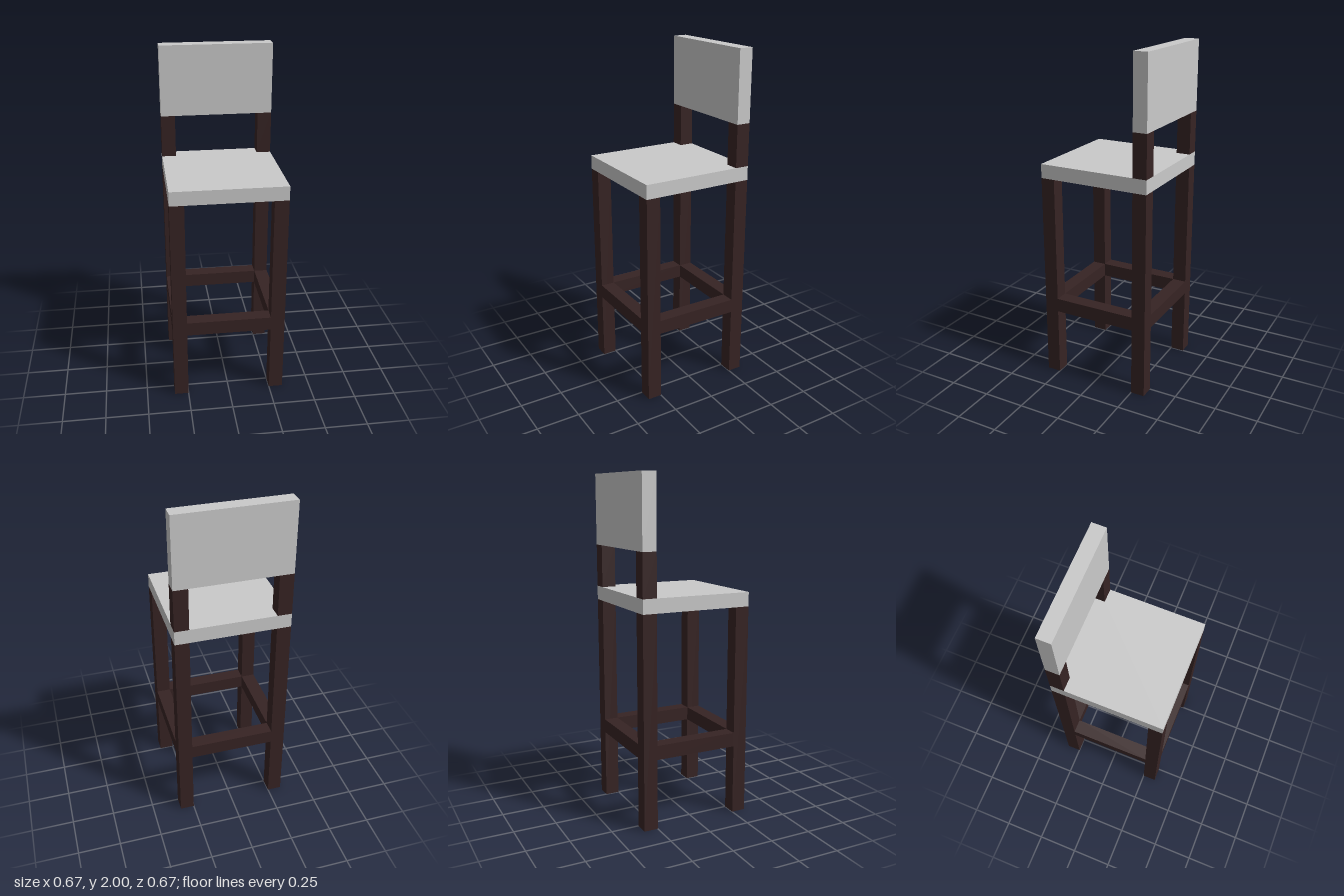
import * as THREE from 'three';

// Everything sits on a grid of 1/12 unit: 8 wide, 8 deep, 24 high.
const U = 1 / 12;

export function createModel() {
  const model = new THREE.Group();
  model.name = 'barStool';

  const wood = new THREE.MeshStandardMaterial({ color: 0x362323 });
  wood.name = 'dark brown wood';
  const pad = new THREE.MeshStandardMaterial({ color: 0xcacaca });
  pad.name = 'light grey';

  // Box given by its size, the height of its underside and its centre, in grid units
  function block(name, material, [w, h, d], [x, bottom, z]) {
    const mesh = new THREE.Mesh(new THREE.BoxGeometry(w * U, h * U, d * U), material);
    mesh.position.set(x * U, (bottom + h / 2) * U, z * U);
    mesh.name = name;
    model.add(mesh);
  }

  // Seat and backrest
  block('seat', pad, [8, 1, 8], [0, 15, 0]);
  block('backrest', pad, [8, 5, 1], [0, 19, -3.5]);

  for (const [side, s] of [['Left', 1], ['Right', -1]]) {
    // Legs, and the posts that carry the backrest
    block('front' + side + 'Leg', wood, [1, 15, 1], [s * 3.5, 0, 3.5]);
    block('back' + side + 'Leg', wood, [1, 15, 1], [s * 3.5, 0, -3.5]);
    block('back' + side + 'Post', wood, [1, 3, 1], [s * 3.5, 16, -3.5]);
    // Side footrest rails
    block('side' + side + 'Rail', wood, [1, 1, 6], [s * 3.5, 5, 0]);
  }

  // Front and back footrest rails
  block('frontRail', wood, [6, 1, 1], [0, 5, 3.5]);
  block('backRail', wood, [6, 1, 1], [0, 5, -3.5]);

  return model;
}
